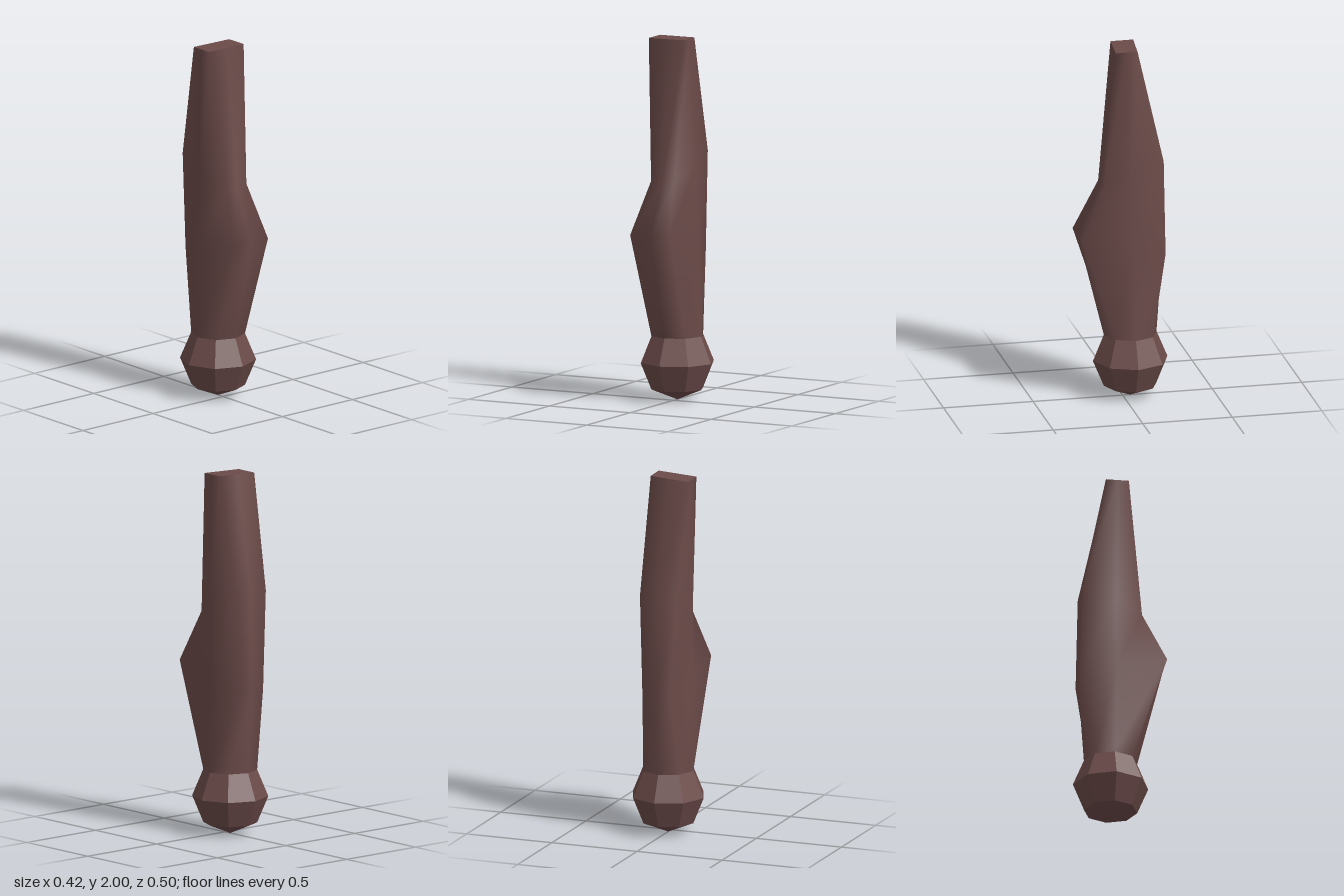
import * as THREE from 'three';

const COLOR = 0x6b4b49;

// Cross-sections from bottom to top, each running front, front-left, left,
// back-left, back, back-right, right, front-right as [x, y, z].
function limbSections() {
  const base = [];
  for (let i = 0; i < 8; i++) {
    const a = (i * Math.PI) / 4;
    base.push([Math.sin(a) * 0.147, 0.354, Math.cos(a) * 0.147 - 0.042]);
  }
  const bulge = [
    [-0.01, 0.935, 0.249], [0.11, 0.935, 0.249], [0.132, 0.88, -0.03], [0.08, 0.82, -0.222],
    [0, 0.82, -0.222], [-0.08, 0.82, -0.222], [-0.146, 0.88, -0.03], [-0.135, 0.935, 0.249],
  ];
  const waist = [
    [-0.005, 1.22, 0.122], [0.065, 1.22, 0.12], [0.125, 1.3, -0.02], [0.1, 1.36, -0.207],
    [-0.005, 1.36, -0.207], [-0.113, 1.36, -0.207], [-0.14, 1.3, -0.03], [-0.075, 1.22, 0.12],
  ];
  const top = [
    [-0.018, 1.997, 0.049], [0.097, 2, 0.059], [0.096, 2, 0], [0.095, 2, -0.062],
    [-0.018, 1.997, -0.075], [-0.133, 1.994, -0.089], [-0.133, 1.994, -0.025], [-0.133, 1.994, 0.038],
  ];
  return [base, bulge, waist, top];
}

// Joins neighbouring sections with quads
function loft(sections) {
  const n = sections[0].length;
  const index = [];
  for (let r = 0; r < sections.length - 1; r++) {
    for (let i = 0; i < n; i++) {
      const a = r * n + i;
      const b = r * n + ((i + 1) % n);
      index.push(a, b, b + n, a, b + n, a + n);
    }
  }
  return surface(sections.flat(), index);
}

// Closes one section with a fan
function cap(section) {
  const index = [];
  for (let i = 1; i < section.length - 1; i++) index.push(0, i, i + 1);
  return surface(section, index);
}

function surface(points, index) {
  const geometry = new THREE.BufferGeometry();
  geometry.setAttribute('position', new THREE.Float32BufferAttribute(points.flat(), 3));
  geometry.setIndex(index);
  geometry.computeVertexNormals();
  return geometry;
}

export function createModel() {
  const model = new THREE.Group();
  model.name = 'limb';
  const smooth = new THREE.MeshStandardMaterial({ color: COLOR });
  const faceted = new THREE.MeshStandardMaterial({ color: COLOR, flatShading: true });

  const add = (name, geometry, material) => {
    const mesh = new THREE.Mesh(geometry, material);
    mesh.name = name;
    model.add(mesh);
    return mesh;
  };

  // Shaft with the forward bulge, and its flat slanted end
  const sections = limbSections();
  add('shaft', loft(sections), smooth);
  add('topEnd', cap(sections[3]), faceted);

  // Faceted ball at the foot, open where the shaft meets it
  const ball = new THREE.SphereGeometry(0.208, 8, 3, 0, Math.PI * 2, Math.PI / 4, Math.PI * 0.75);
  add('ballJoint', ball, faceted).position.set(0, 0.208, -0.042);

  return model;
}
